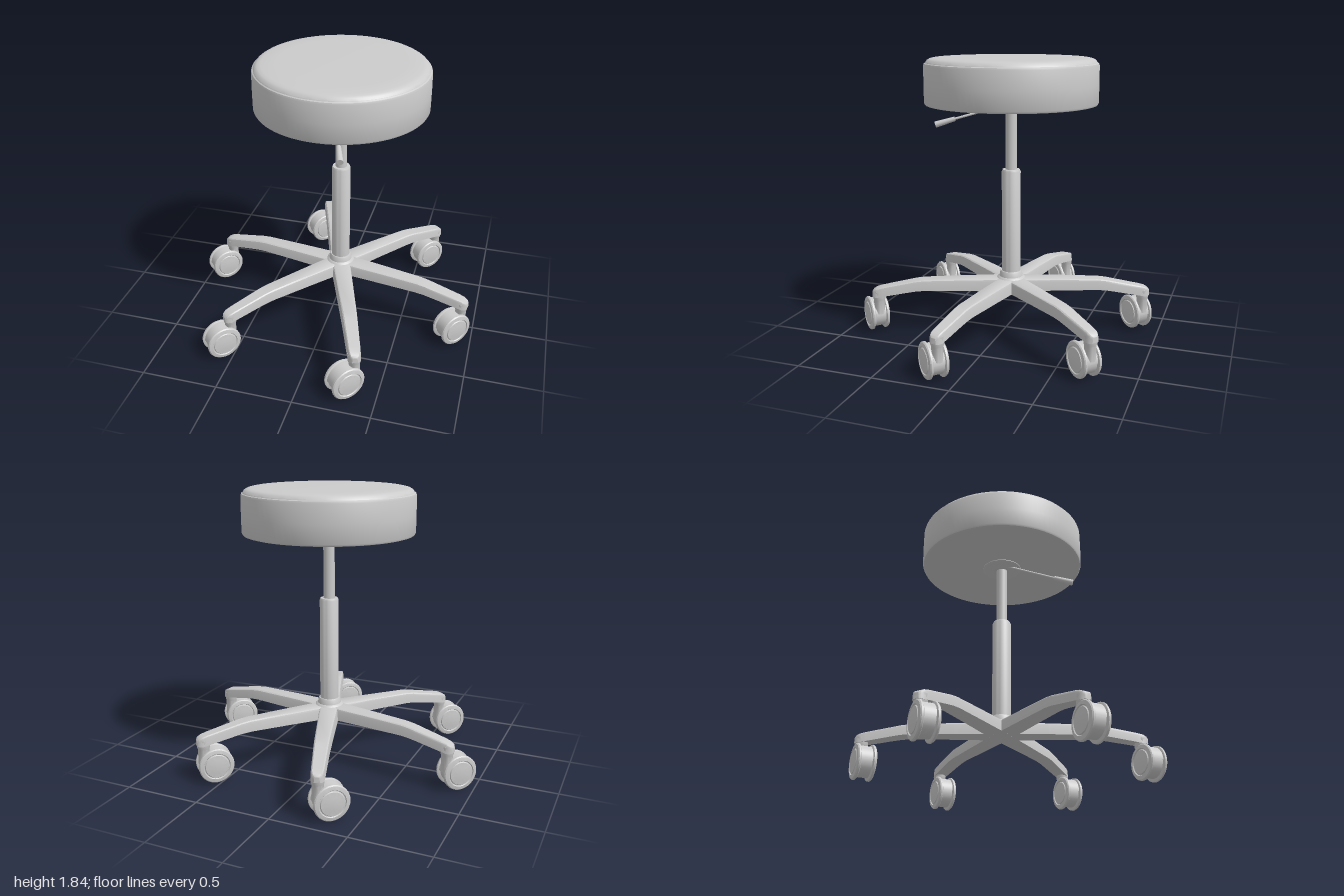
import * as THREE from 'three';
import { toCreasedNormals } from 'three/addons/utils/BufferGeometryUtils.js';

const material = new THREE.MeshStandardMaterial({ color: 0xcccccc });
const CX = 0.04, CZ = -0.05; // axis of the column

function add(parent, name, geometry, x = 0, y = 0, z = 0) {
  const mesh = new THREE.Mesh(geometry, material);
  mesh.name = name;
  mesh.position.set(x, y, z);
  parent.add(mesh);
  return mesh;
}

// Turned shape from [radius, height] pairs, listed from bottom to top
function turned(points, segments = 64) {
  const geometry = new THREE.LatheGeometry(points.map(([r, y]) => new THREE.Vector2(r, y)), segments);
  return toCreasedNormals(geometry, 0.6);
}

// Tapered arm lofted along +x from rows of [distance, half width, top, bottom]
function armGeometry() {
  const rows = [
    [0, 0.068, 0.385, 0.3], [0.3, 0.06, 0.38, 0.302], [0.58, 0.053, 0.373, 0.302],
    [0.64, 0.051, 0.366, 0.297], [0.7, 0.049, 0.354, 0.287], [0.86, 0.044, 0.322, 0.258],
    [0.9, 0.041, 0.312, 0.25], [0.922, 0.032, 0.3, 0.25], [0.932, 0.018, 0.288, 0.252],
  ];
  const positions = [], index = [], n = 8;
  for (const [r, w, top, bottom] of rows) {
    const half = [[w, bottom], [0.93 * w, top - 0.018], [0.87 * w, top - 0.006], [0.72 * w, top]];
    for (const [z, y] of half) positions.push(r, y, z);
    for (const [z, y] of half.reverse()) positions.push(r, y, -z);
  }
  for (let i = 0; i < rows.length - 1; i++) {
    for (let j = 0; j < n; j++) {
      const a = i * n + j, b = i * n + (j + 1) % n;
      index.push(a, a + n, b + n, a, b + n, b);
    }
  }
  const end = (rows.length - 1) * n;
  for (let k = 1; k < n - 1; k++) index.push(end, end + k + 1, end + k);
  const geometry = new THREE.BufferGeometry();
  geometry.setAttribute('position', new THREE.Float32BufferAttribute(positions, 3));
  geometry.setIndex(index);
  return toCreasedNormals(geometry, 0.6);
}

// Twin-wheel caster: the origin is the swivel axis, the axle runs along local x
function makeCaster() {
  const caster = new THREE.Group();
  caster.name = 'caster';
  const y = 0.114, z = 0.07;
  add(caster, 'swivelStem', turned([[0, 0.13], [0.036, 0.13], [0.036, 0.225], [0.041, 0.235], [0.041, 0.29], [0, 0.29]], 24));
  const tread = add(caster, 'wheelBarrel', new THREE.CylinderGeometry(0.094, 0.094, 0.11, 32), 0, y, z);
  tread.rotation.z = Math.PI / 2;
  // Upper hood covers the top half between the rims
  const hood = add(caster, 'hood', new THREE.CylinderGeometry(0.102, 0.102, 0.1, 24, 1, false, 0, Math.PI), 0, y, z);
  hood.rotation.z = Math.PI / 2;
  // Rim with a shallow groove and a domed hub cap
  const rim = turned([
    [0, -0.02], [0.106, -0.02], [0.114, -0.015], [0.114, -0.004], [0.108, 0.003],
    [0.086, 0.008], [0.082, 0.002], [0.078, 0.002], [0.074, 0.008], [0.045, 0.012], [0, 0.014],
  ], 36);
  for (const side of [1, -1]) {
    const wheel = add(caster, 'wheelRim', rim, side * 0.056, y, z);
    wheel.rotation.z = -side * Math.PI / 2;
  }
  return caster;
}

// Cylinder between two points
function rod(parent, name, from, to, r1, r2) {
  const dir = to.clone().sub(from);
  const mesh = add(parent, name, new THREE.CylinderGeometry(r2, r1, dir.length(), 16));
  mesh.position.copy(from).addScaledVector(dir, 0.5);
  mesh.quaternion.setFromUnitVectors(new THREE.Vector3(0, 1, 0), dir.normalize());
}

export function createModel() {
  const model = new THREE.Group();
  model.name = 'swivelStool';

  // Padded seat with a welt line near the top
  add(model, 'seat', turned([
    [0, 1.54], [0.535, 1.54], [0.549, 1.544], [0.555, 1.555], [0.556, 1.67], [0.555, 1.788],
    [0.551, 1.8], [0.543, 1.804], [0.541, 1.808], [0.533, 1.82], [0.518, 1.829], [0.495, 1.834],
    [0.4, 1.837], [0, 1.838],
  ], 80), CX, 0, CZ);
  add(model, 'seatPlate', turned([[0, 1.522], [0.1, 1.522], [0.132, 1.536], [0.132, 1.545]], 48), CX, 0, CZ);

  // Gas lift column
  add(model, 'piston', new THREE.CylinderGeometry(0.037, 0.037, 0.45, 32), CX, 1.31, CZ);
  add(model, 'columnSleeve', turned([
    [0.062, 0.38], [0.062, 1.105], [0.056, 1.118], [0, 1.118],
  ], 40), CX, 0, CZ);
  add(model, 'hubCollar', turned([
    [0.1, 0.37], [0.092, 0.386], [0.078, 0.395], [0.072, 0.425], [0.068, 0.432], [0.05, 0.432],
  ], 40), CX, 0, CZ);

  // Height lever
  const joint = new THREE.Vector3(0.115, 1.44, 0.31);
  rod(model, 'leverRod', new THREE.Vector3(0, 1.531, 0), joint, 0.008, 0.008);
  rod(model, 'leverGrip', joint, new THREE.Vector3(0.155, 1.402, 0.43), 0.015, 0.021);

  // Six arms, each ending in a caster; all casters point the same way
  const base = new THREE.Group();
  base.name = 'base';
  base.position.set(CX, 0, CZ);
  model.add(base);
  const arm = armGeometry();
  for (let i = 0; i < 6; i++) {
    const angle = THREE.MathUtils.degToRad(10 + 60 * i);
    add(base, 'arm', arm).rotation.y = -angle;
    const caster = makeCaster();
    caster.position.set(0.888 * Math.cos(angle), 0, 0.888 * Math.sin(angle));
    caster.rotation.y = -Math.PI / 4;
    base.add(caster);
  }
  return model;
}
